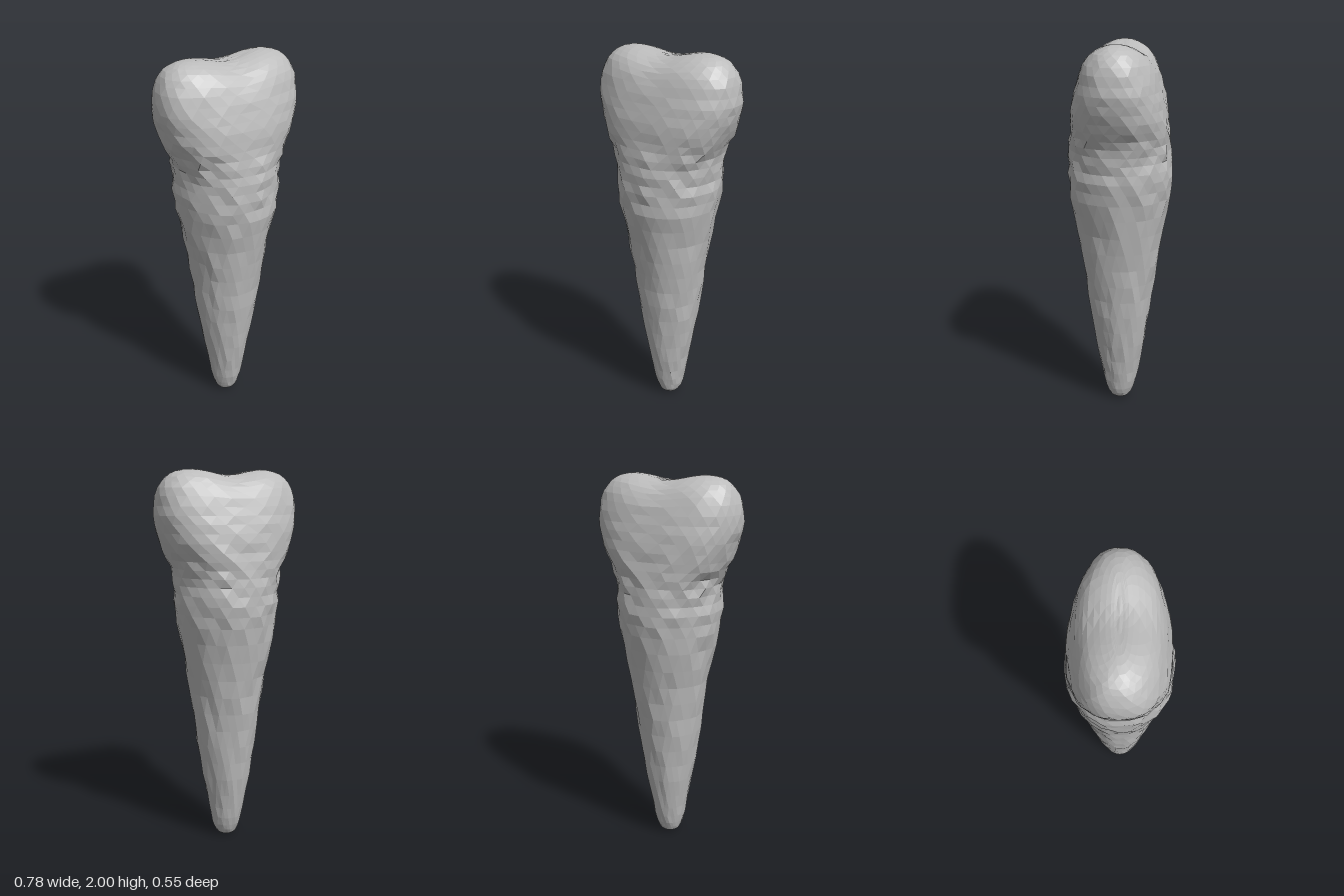
import * as THREE from 'three';

// Cross-sections from tip to crown: half width (x), height (y), half depth (z)
const SECTIONS = [
  [0.025, 0.0, 0.025], [0.055, 0.02, 0.055], [0.078, 0.08, 0.08], [0.097, 0.2, 0.108],
  [0.135, 0.4, 0.143], [0.165, 0.6, 0.17], [0.192, 0.8, 0.198], [0.222, 1.0, 0.228],
  [0.262, 1.2, 0.262], [0.278, 1.32, 0.272], [0.278, 1.42, 0.27], [0.293, 1.51, 0.262],
  [0.338, 1.6, 0.252], [0.372, 1.7, 0.238], [0.388, 1.79, 0.215], [0.37, 1.89, 0.184],
  [0.335, 1.95, 0.145], [0.28, 1.985, 0.09], [0.2, 2.0, 0.04], [0.09, 2.0, 0.014],
];
const SIDES = 28;
const RINGS = 40;

// Small repeatable surface unevenness in the range -1..1
function uneven(a, b) {
  const s = Math.sin(a * 12.9898 + b * 78.233) * 43758.5453;
  return (s - Math.floor(s)) * 2 - 1;
}

function toothGeometry() {
  const profile = new THREE.CatmullRomCurve3(SECTIONS.map((s) => new THREE.Vector3(...s)));
  const positions = [];
  const index = [];

  // Rings: round along the root, squarer in the crown, with a saddle on top
  for (let r = 0; r <= RINGS; r++) {
    const s = profile.getPoint(r / RINGS);
    const power = 2 / (2 + 0.45 * THREE.MathUtils.smoothstep(s.y, 1.4, 1.65));
    const saddle = 0.033 * THREE.MathUtils.smoothstep(s.y, 1.75, 1.98);
    const rough = s.y < 1.6 ? 0.03 : 0.012;
    for (let i = 0; i < SIDES; i++) {
      const a = ((i + (r % 2) * 0.5) / SIDES) * Math.PI * 2;
      const c = Math.cos(a);
      const d = Math.sin(a);
      const k = 1 + rough * uneven(i, r);
      const x = s.x * k * Math.sign(c) * Math.abs(c) ** power;
      const z = s.z * k * Math.sign(d) * Math.abs(d) ** power;
      const y = s.y - saddle * Math.exp(-((x / 0.13) ** 2));
      positions.push(x, y, z);
    }
  }

  // Skin between neighbouring staggered rings
  for (let r = 0; r < RINGS; r++) {
    for (let i = 0; i < SIDES; i++) {
      const j = (i + 1) % SIDES;
      const a = r * SIDES + i;
      const b = r * SIDES + j;
      const c = a + SIDES;
      const d = b + SIDES;
      if (r % 2 === 0) index.push(a, c, b, b, c, d);
      else index.push(a, d, b, a, c, d);
    }
  }

  // Close the tip and the crown
  const bottom = positions.length / 3;
  positions.push(0, 0, 0, 0, 1.967, 0);
  const last = RINGS * SIDES;
  for (let i = 0; i < SIDES; i++) {
    const j = (i + 1) % SIDES;
    index.push(bottom, i, j, bottom + 1, last + j, last + i);
  }

  const geometry = new THREE.BufferGeometry();
  geometry.setAttribute('position', new THREE.Float32BufferAttribute(positions, 3));
  geometry.setIndex(index);
  const faceted = geometry.toNonIndexed();
  faceted.computeVertexNormals();
  return faceted;
}

export function createModel() {
  const group = new THREE.Group();
  group.name = 'tooth';

  const enamel = new THREE.MeshStandardMaterial({ color: 0xbcbcbc });
  enamel.name = 'grey enamel';

  const tooth = new THREE.Mesh(toothGeometry(), enamel);
  tooth.name = 'crownAndRoot';
  group.add(tooth);
  return group;
}
